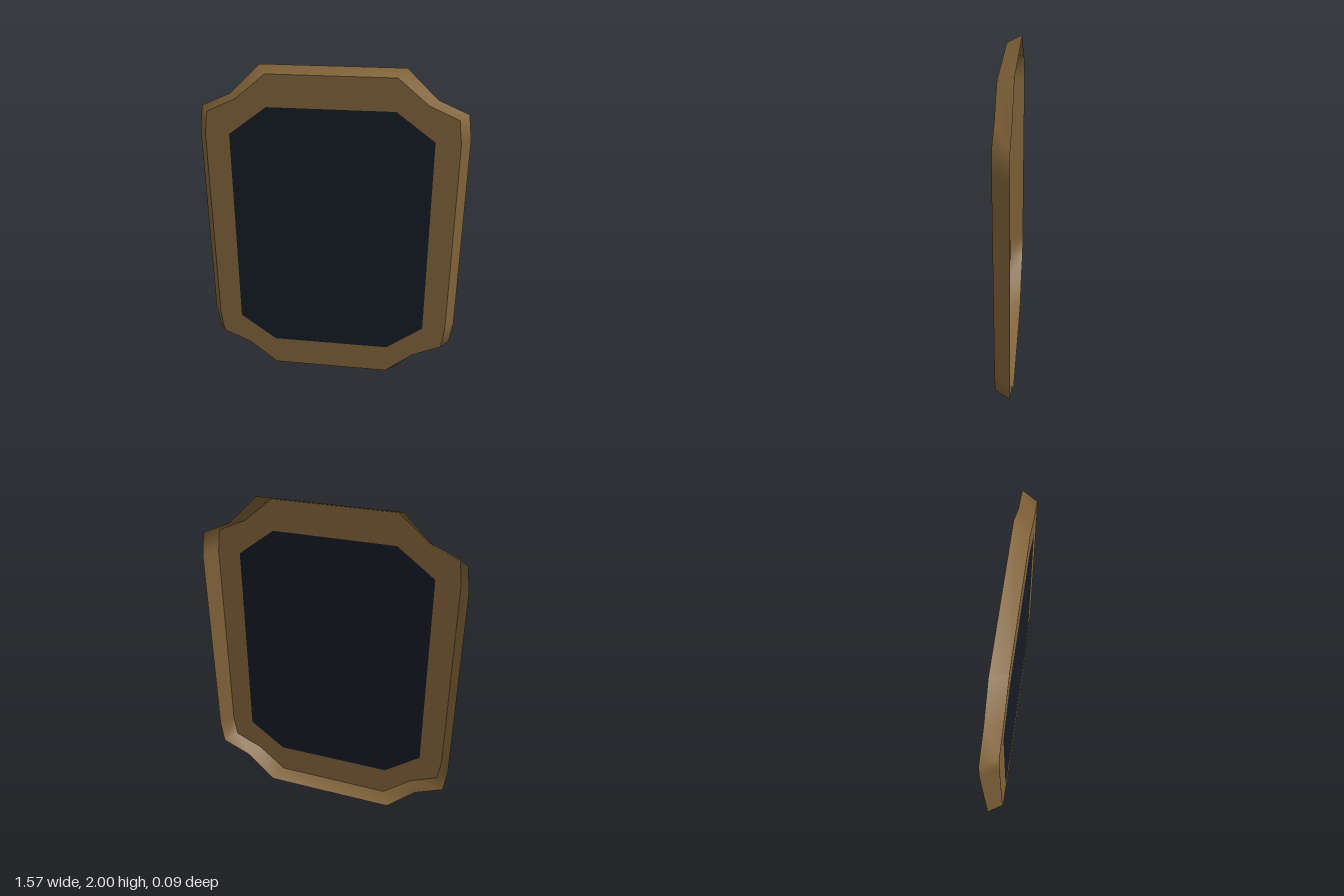
import * as THREE from 'three';

const FRONT = 0.045, BACK = -0.045;

// Quarter outlines measured from the centre, running from the side to the top
const RIM = [[0.785, 0.61], [0.765, 0.755], [0.59, 0.83], [0.412, 1]];
const FACE = [[0.728, 0.61], [0.71, 0.745], [0.54, 0.82], [0.365, 0.965]];
const PANE = [[0.587, 0.615], [0.365, 0.78]];

// Mirror a quarter outline into a full anticlockwise loop
function loop(quarter) {
  const mirrored = (sx, sy) => quarter.map(([x, y]) => new THREE.Vector2(sx * x, 1 + sy * y));
  return [
    ...mirrored(1, 1), ...mirrored(-1, 1).reverse(),
    ...mirrored(-1, -1), ...mirrored(1, -1).reverse(),
  ];
}

// Sloping wall between the rear rim and the front face
function wallGeometry(rear, front) {
  const n = rear.length, positions = [], index = [];
  rear.forEach((p) => positions.push(p.x, p.y, BACK));
  front.forEach((p) => positions.push(p.x, p.y, FRONT));
  for (let i = 0; i < n; i++) {
    const j = (i + 1) % n;
    index.push(i, j, n + j, i, n + j, n + i);
  }
  const geometry = new THREE.BufferGeometry();
  geometry.setAttribute('position', new THREE.Float32BufferAttribute(positions, 3));
  geometry.setIndex(index);
  geometry.computeVertexNormals();
  return geometry;
}

export function createModel() {
  const group = new THREE.Group();
  group.name = 'framedPanel';
  const wood = new THREE.MeshStandardMaterial({ color: 0x7f6239, side: THREE.DoubleSide });
  const dark = new THREE.MeshStandardMaterial({ color: 0x151a24, side: THREE.DoubleSide });

  const add = (name, geometry, material) => {
    const mesh = new THREE.Mesh(geometry, material);
    mesh.name = name;
    group.add(mesh);
  };

  // Flat front of the frame, open in the middle
  const faceShape = new THREE.Shape(loop(FACE));
  faceShape.holes.push(new THREE.Path(loop(PANE)));
  add('frameFace', new THREE.ShapeGeometry(faceShape).translate(0, 0, FRONT), wood);

  // Bevelled edge, open at the back
  add('frameBevel', wallGeometry(loop(RIM), loop(FACE)), wood);

  // Dark pane flush with the frame
  add('pane', new THREE.ShapeGeometry(new THREE.Shape(loop(PANE))).translate(0, 0, FRONT), dark);

  return group;
}
